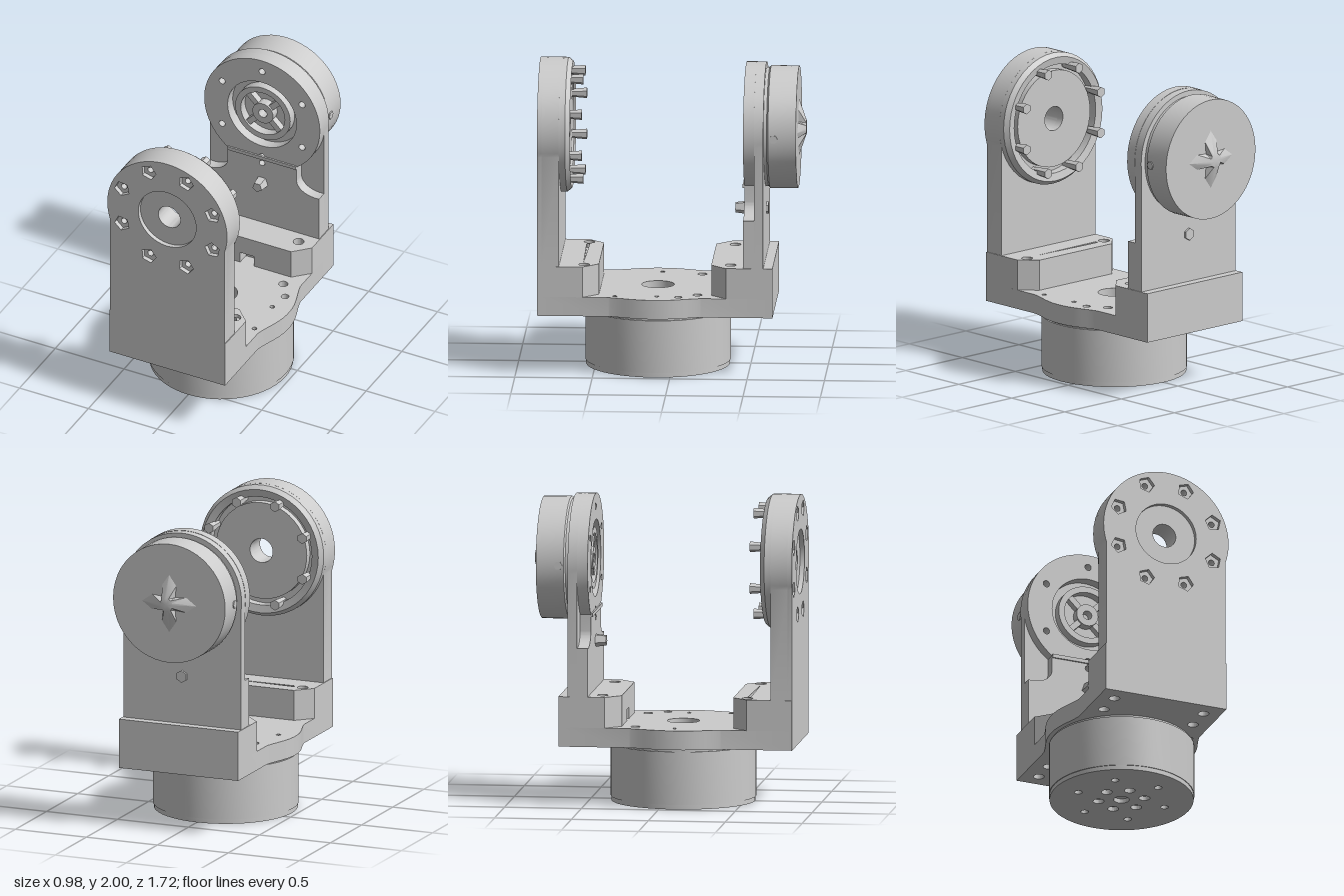
import * as THREE from 'three';
import { toCreasedNormals } from 'three/addons/utils/BufferGeometryUtils.js';

const material = new THREE.MeshStandardMaterial({ color: 0xcccccc, side: THREE.DoubleSide });
const AXIS_Y = 1.565; // height of the tilt axis
const BASE_Z = 0.1; // centre of the round base

export function createModel() {
  const model = new THREE.Group();

  const add = (name, geometry, parent = model) => {
    const mesh = new THREE.Mesh(toCreasedNormals(geometry, 0.6), material);
    mesh.name = name;
    parent.add(mesh);
    return mesh;
  };
  const polygon = (points) => new THREE.Shape(points.map(([x, y]) => new THREE.Vector2(x, y)));
  const disc = (x, y, r) => new THREE.Shape().absarc(x, y, r, 0, Math.PI * 2);
  const hole = (x, y, r) => new THREE.Path().absarc(x, y, r, 0, Math.PI * 2, true);
  const ring = (n, r, offset = 0) => Array.from({ length: n }, (_, i) => {
    const a = offset + (i / n) * Math.PI * 2;
    return [r * Math.cos(a), r * Math.sin(a)];
  });
  const extrude = (shape, holes, depth) => {
    shape.holes.push(...holes);
    return new THREE.ExtrudeGeometry(shape, { depth, bevelEnabled: false, curveSegments: 28 });
  };
  // Slab lying flat: its outline is drawn in (x, -z)
  const flat = (name, shape, holes, y0, y1) =>
    add(name, extrude(shape, holes, y1 - y0).rotateX(-Math.PI / 2).translate(0, y0, 0));
  // Slab standing up: its outline is drawn in (x, y)
  const upright = (name, shape, holes, z0, z1) =>
    add(name, extrude(shape, holes, z1 - z0).translate(0, 0, z0));
  // Turned part around the tilt axis, profile in (radius, z)
  const turned = (name, profile) => add(name, new THREE.LatheGeometry(
    profile.map(([r, z]) => new THREE.Vector2(r, z)), 48).rotateX(Math.PI / 2).translate(0, AXIS_Y, 0));

  // Round base with shallow screw holes underneath
  const boltHoles = [[0, 0, 0.05], ...ring(6, 0.3).map((p) => [...p, 0.025]),
    ...ring(6, 0.15, 0.5).map((p) => [...p, 0.035])]
    .map(([x, z, r]) => hole(x, z - BASE_Z, r));
  flat('baseUnderside', disc(0, -BASE_Z, 0.465), boltHoles, 0, 0.03);
  flat('baseDrum', disc(0, -BASE_Z, 0.47), [], 0.03, 0.375);
  flat('baseNeck', disc(0, -BASE_Z, 0.46), [], 0.375, 0.39);

  // Floor plate with bulging sides
  const plate = new THREE.Shape();
  plate.moveTo(-0.42, -0.86);
  plate.lineTo(0.42, -0.86);
  plate.lineTo(0.42, -0.4);
  plate.bezierCurveTo(0.44, -0.3, 0.49, -0.23, 0.49, -0.1);
  plate.bezierCurveTo(0.49, 0.03, 0.44, 0.1, 0.42, 0.2);
  plate.lineTo(0.42, 0.66);
  plate.lineTo(-0.42, 0.66);
  plate.lineTo(-0.42, 0.2);
  plate.bezierCurveTo(-0.44, 0.1, -0.49, 0.03, -0.49, -0.1);
  plate.bezierCurveTo(-0.49, -0.23, -0.44, -0.3, -0.42, -0.4);
  plate.closePath();
  const blockHoles = (z) => [-1, 1].map((s) => hole(s * 0.31, -z, 0.035));
  flat('floorPlate', plate, [
    hole(0, -BASE_Z, 0.105), ...blockHoles(0.56), ...blockHoles(-0.385),
    ...blockHoles(0.74), ...blockHoles(-0.55),
    hole(0.365, -0.09, 0.015), hole(-0.375, -0.09, 0.015), hole(0.375, -0.36, 0.015),
    hole(0.385, 0.05, 0.025), hole(0.31, 0.17, 0.03), hole(-0.32, 0.17, 0.03),
  ], 0.39, 0.515);

  // Foot blocks with chamfered inner corners
  const slot = new THREE.Path([[-0.28, -0.555], [0.27, -0.567], [-0.28, -0.575]]
    .map(([x, y]) => new THREE.Vector2(x, y)));
  flat('frontBlock', polygon([[-0.42, -0.86], [0.42, -0.86], [0.42, -0.565], [0.32, -0.465],
    [-0.32, -0.465], [-0.42, -0.565]]), [...blockHoles(0.56)], 0.515, 0.69);
  flat('frontBlockTop', polygon([[-0.42, -0.86], [0.42, -0.86], [0.42, -0.565], [0.32, -0.465],
    [-0.32, -0.465], [-0.42, -0.565]]), [...blockHoles(0.6), slot].slice(2).concat(
    [-1, 1].map((s) => hole(s * 0.34, -0.56, 0.035))), 0.69, 0.715);
  flat('backBlock', polygon([[-0.42, 0.66], [-0.42, 0.36], [-0.32, 0.26], [-0.05, 0.26], [-0.05, 0.34],
    [0.05, 0.34], [0.05, 0.26], [0.32, 0.26], [0.42, 0.36], [0.42, 0.66]]), blockHoles(-0.385), 0.515, 0.59);
  flat('backBlockTop', polygon([[-0.42, 0.66], [-0.42, 0.36], [-0.32, 0.26], [0.32, 0.26],
    [0.42, 0.36], [0.42, 0.66]]), blockHoles(-0.385), 0.59, 0.715);

  // Arm outline: straight sides and a round head
  const armShape = (halfWidth, r) => {
    const a = Math.acos(halfWidth / r);
    const shape = new THREE.Shape();
    shape.moveTo(-halfWidth, 0.715);
    shape.lineTo(halfWidth, 0.715);
    shape.absarc(0, AXIS_Y, r, -a, Math.PI + a, false);
    shape.closePath();
    return shape;
  };

  // Front arm with a shallow hub recess and screw pockets
  const screws = ring(8, 0.355, Math.PI / 8).map(([x, y]) => [x, y + AXIS_Y]);
  const pockets = screws.map(([x, y]) => new THREE.Path(
    ring(5, 0.055, x * 9).map(([px, py]) => new THREE.Vector2(x + px, y + py))));
  upright('frontArm', armShape(0.415, 0.435),
    [hole(0, AXIS_Y, 0.08), ...screws.map(([x, y]) => hole(x, y, 0.02))], 0.72, 0.83);
  upright('frontArmFace', armShape(0.415, 0.435), [hole(0, AXIS_Y, 0.21), ...pockets], 0.83, 0.86);

  // Inner bearing: rim, groove and hub, with screw ends poking out
  turned('bearingRim', [[0.36, 0.72], [0.36, 0.66], [0.41, 0.65], [0.435, 0.68], [0.435, 0.72]].reverse()
    .reverse());
  turned('bearingHub', [[0.08, 0.72], [0.08, 0.67], [0.32, 0.67], [0.32, 0.72]]);
  const pins = new THREE.Group();
  pins.name = 'screwEnds';
  model.add(pins);
  for (const [x, y] of screws) {
    add('screwEnd', new THREE.CylinderGeometry(0.035, 0.022, 0.145, 6)
      .rotateX(-Math.PI / 2).translate(x, y, 0.6475), pins).rotation.z = 0;
  }

  // Back arm: full outer layer, inner layer scooped out at both sides
  const innerArm = new THREE.Shape();
  innerArm.moveTo(-0.415, 0.715);
  innerArm.lineTo(0.415, 0.715);
  innerArm.lineTo(0.415, 1.03);
  innerArm.bezierCurveTo(0.33, 1.02, 0.25, 1.06, 0.25, 1.13);
  innerArm.lineTo(0.25, 1.228);
  innerArm.absarc(0, AXIS_Y, 0.42, -0.93, Math.PI + 0.93, false);
  innerArm.lineTo(-0.25, 1.13);
  innerArm.bezierCurveTo(-0.25, 1.06, -0.33, 1.02, -0.415, 1.03);
  innerArm.closePath();
  const faceHoles = ring(6, 0.335, Math.PI / 6).map(([x, y]) => hole(x, y + AXIS_Y, 0.022));
  upright('backArm', armShape(0.415, 0.418), [], -0.6, -0.54);
  upright('backArmInnerLayer', innerArm,
    [hole(0, AXIS_Y, 0.25), hole(0, 1.18, 0.02), ...faceHoles], -0.54, -0.47);
  add('armLedge', new THREE.BoxGeometry(0.5, 0.025, 0.015).translate(0, 1.225, -0.467));
  add('armScrew', new THREE.CylinderGeometry(0.035, 0.045, 0.07, 5)
    .rotateX(Math.PI / 2).translate(0, 1.03, -0.435));
  add('armScrewTail', new THREE.CylinderGeometry(0.04, 0.04, 0.02, 6)
    .rotateX(Math.PI / 2).translate(0, 1.03, -0.605));

  // Drive horn inside the back arm recess
  turned('hornRing', [[0.16, -0.54], [0.2, -0.54], [0.2, -0.48], [0.16, -0.48], [0.16, -0.54]]);
  turned('hornHub', [[0.03, -0.54], [0.075, -0.54], [0.075, -0.48], [0.03, -0.48], [0.03, -0.54]]);
  for (let i = 0; i < 4; i++) {
    add('hornSpoke', new THREE.BoxGeometry(0.11, 0.04, 0.045).translate(0.12, 0, 0)
      .rotateZ(Math.PI / 4 + i * Math.PI / 2).translate(0, AXIS_Y, -0.515));
  }

  // Round motor housing behind the back arm, with a raised cross
  turned('motorHousing', [[0, -0.81], [0.395, -0.81], [0.397, -0.63], [0.385, -0.62], [0.385, -0.6], [0, -0.6]]);
  const cross = new THREE.CylinderGeometry(0.045, 0.19, 0.05, 16, 1);
  const p = cross.attributes.position;
  for (let i = 0; i < p.count; i++) {
    const r = Math.hypot(p.getX(i), p.getZ(i));
    if (r < 0.1) continue;
    const step = Math.round(Math.atan2(p.getX(i), p.getZ(i)) / (Math.PI / 8)) & 3;
    const k = [0.19, 0.13, 0.06, 0.13][step] / r;
    p.setX(i, p.getX(i) * k);
    p.setZ(i, p.getZ(i) * k);
  }
  add('motorCross', cross.rotateX(-Math.PI / 2).translate(0, AXIS_Y, -0.835));
  for (const s of [-1, 1]) {
    add('motorSideScrew', new THREE.CylinderGeometry(0.028, 0.028, 0.02, 6)
      .rotateZ(Math.PI / 2).translate(s * 0.393, AXIS_Y, -0.665));
  }
  return model;
}
